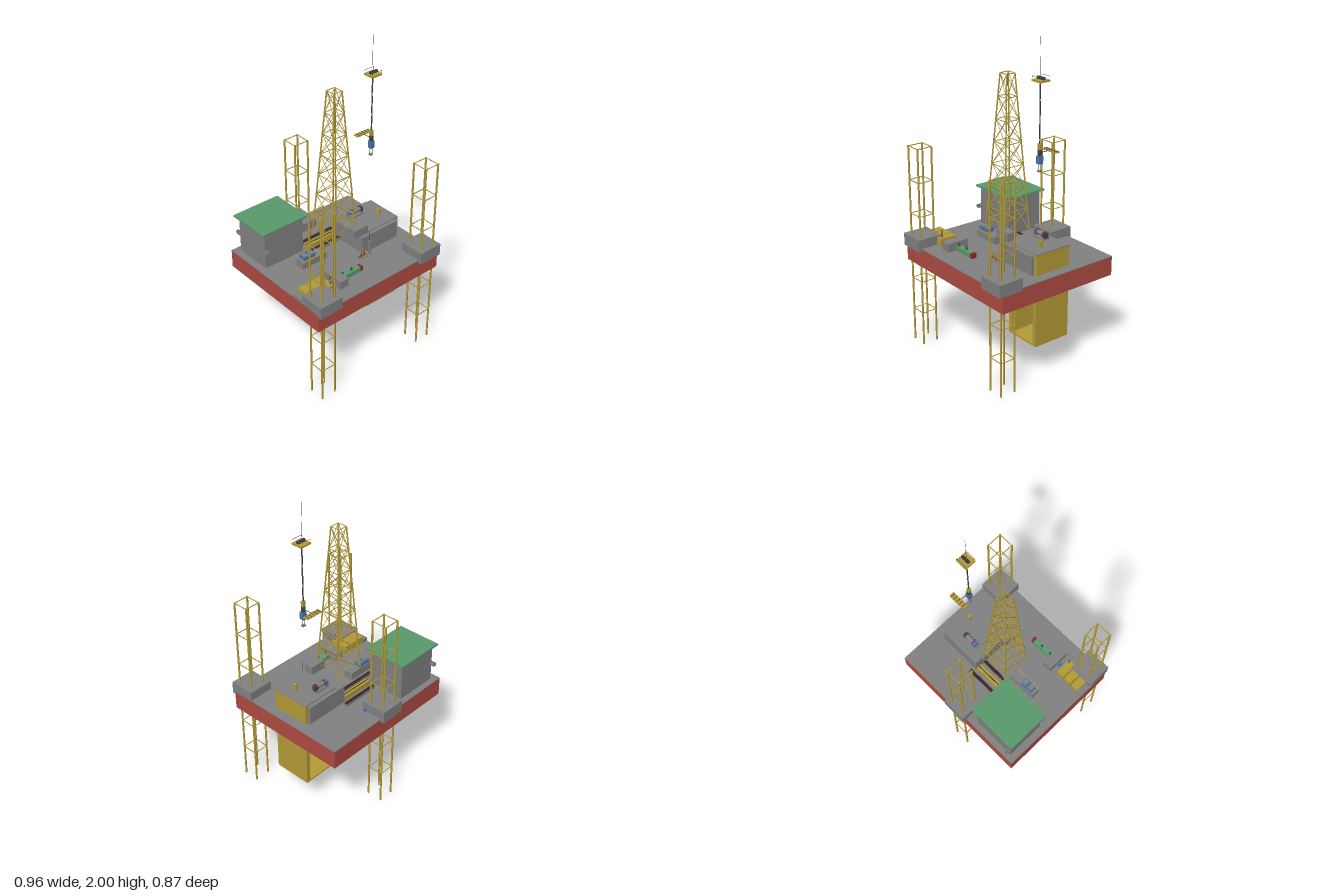
import * as THREE from 'three';

const mat = (name, color, side = THREE.FrontSide) => {
  const m = new THREE.MeshStandardMaterial({ color, side });
  m.name = name;
  return m;
};

export function createModel() {
  const red = mat('hull red', 0xb04c43), gray = mat('deck gray', 0x828282);
  const yellow = mat('structure yellow', 0xb59c38), green = mat('machinery green', 0x5a9a6c);
  const blue = mat('equipment blue', 0x4a78ac), brown = mat('pipe brown', 0x3a2a24);
  const dark = mat('steel dark gray', 0x404348), crimson = mat('engine crimson', 0x96262c);
  const root = new THREE.Group();
  root.name = 'jackUpRig';

  const add = (parent, name, geo, m) => {
    const mesh = new THREE.Mesh(geo, m);
    mesh.name = name;
    parent.add(mesh);
    return mesh;
  };
  // Box given by its limits on each axis
  const box = (name, m, x0, x1, y0, y1, z0, z1, parent = root) => {
    const mesh = add(parent, name, new THREE.BoxGeometry(x1 - x0, y1 - y0, z1 - z0), m);
    mesh.position.set((x0 + x1) / 2, (y0 + y1) / 2, (z0 + z1) / 2);
    return mesh;
  };
  // Round bar between two points
  const UP = new THREE.Vector3(0, 1, 0);
  const bar = (name, m, a, b, r, parent = root, sides = 6) => {
    const p = new THREE.Vector3(...a), q = new THREE.Vector3(...b);
    const d = q.clone().sub(p);
    const mesh = add(parent, name, new THREE.CylinderGeometry(r, r, d.length(), sides), m);
    mesh.position.copy(p).add(q).multiplyScalar(0.5);
    mesh.quaternion.setFromUnitVectors(UP, d.normalize());
    return mesh;
  };
  const group = (name) => {
    const g = new THREE.Group();
    g.name = name;
    root.add(g);
    return g;
  };
  const corners = [[-1, -1], [1, -1], [1, 1], [-1, 1]];

  // Hull with a gray deck plate
  box('hull', red, -0.475, 0.478, 0.545, 0.663, -0.413, 0.413);
  box('deck', gray, -0.475, 0.478, 0.663, 0.668, -0.413, 0.413);

  // Three lattice legs with jack houses
  for (const [x, z] of [[-0.392, 0.352], [0.396, 0.352], [0.002, -0.354]]) {
    const leg = group('leg');
    box('jackHouse', gray, x - 0.082, x + 0.082, 0.648, 0.726, z - 0.082, z + 0.082, leg);
    const h = 0.049;
    corners.forEach(([sx, sz], i) => {
      bar('legChord', yellow, [x + sx * h, 0, z + sz * h], [x + sx * h, 1.29, z + sz * h], 0.006, leg, 8);
      const [nx, nz] = corners[(i + 1) % 4];
      for (const y of [0.217, 0.43, 0.645, 0.86, 1.075, 1.287]) {
        bar('legBrace', yellow, [x + sx * h, y, z + sz * h], [x + nx * h, y, z + nz * h], 0.003, leg);
      }
    });
  }

  // Tapered derrick tower
  const derrick = group('derrick');
  const levels = 7, y0 = 0.8, y1 = 1.75;
  const node = ([sx, sz], k) => {
    const t = k / levels, h = 0.093 + (0.03 - 0.093) * t;
    return [sx * h, y0 + (y1 - y0) * t, sz * h];
  };
  corners.forEach((c, i) => {
    const n = corners[(i + 1) % 4];
    bar('derrickLeg', yellow, node(c, 0), node(c, levels), 0.0045, derrick);
    for (let k = 0; k <= levels; k++) {
      if (k > 0) bar('derrickGirt', yellow, node(c, k), node(n, k), 0.0026, derrick);
      if (k < levels) {
        bar('derrickBrace', yellow, node(c, k), node(n, k + 1), 0.002, derrick);
        bar('derrickBrace', yellow, node(n, k), node(c, k + 1), 0.002, derrick);
      }
    }
  });

  // Accommodation block with green roof and side pods
  const house = group('accommodation');
  box('houseBody', gray, -0.43, -0.145, 0.667, 0.914, -0.375, -0.125, house);
  box('houseRoof', green, -0.455, -0.124, 0.914, 0.925, -0.396, -0.106, house);
  for (const z of [-0.39, -0.11]) {
    box('housePod', gray, -0.436, -0.414, 0.78, 0.798, z - 0.017, z + 0.017, house);
  }
  bar('davitBar', dark, [-0.425, 0.8, -0.413], [-0.425, 0.8, -0.088], 0.0015, house);

  // Raised drill floor above a yellow trough that passes through the hull
  const floor = group('drillFloor');
  box('substructure', gray, 0.105, 0.394, 0.667, 0.785, -0.145, 0.141, floor);
  box('floorPlate', gray, 0.166, 0.415, 0.792, 0.798, -0.125, 0.122, floor);
  box('troughWall', yellow, 0.388, 0.415, 0.212, 0.792, -0.125, 0.122, floor);
  box('troughWall', yellow, 0.168, 0.195, 0.212, 0.792, -0.125, 0.122, floor);
  box('troughBottom', yellow, 0.195, 0.388, 0.212, 0.222, -0.125, 0.122, floor);
  box('controlCabin', gray, 0.056, 0.161, 0.79, 0.846, 0.066, 0.125, floor);

  // Winch on the drill floor
  const winch = group('winch');
  box('winchSkid', gray, 0.175, 0.282, 0.798, 0.808, -0.09, -0.04, winch);
  box('winchMotor', blue, 0.179, 0.201, 0.808, 0.836, -0.085, -0.052, winch);
  bar('winchDrum', gray, [0.206, 0.826, -0.066], [0.262, 0.826, -0.066], 0.015, winch, 16);
  for (const x of [0.203, 0.264]) {
    bar('drumFlange', crimson, [x - 0.002, 0.826, -0.066], [x + 0.002, 0.826, -0.066], 0.02, winch, 16);
  }
  box('winchGearbox', dark, 0.267, 0.282, 0.808, 0.838, -0.08, -0.052, winch);
  box('driverConsole', yellow, 0.333, 0.35, 0.798, 0.842, 0.02, 0.038, winch);

  // Crown block, hoisting line and top drive
  const hoist = group('hoist');
  const hx = 0.288;
  box('crownPlatform', yellow, 0.254, 0.329, 1.755, 1.766, -0.036, 0.035, hoist);
  for (const z of [-0.034, 0.033]) {
    bar('crownRail', dark, [0.256, 1.785, z], [0.327, 1.785, z], 0.001, hoist);
    for (const x of [0.256, 0.327]) bar('railPost', dark, [x, 1.766, z], [x, 1.785, z], 0.001, hoist);
  }
  for (let i = 0; i < 6; i++) {
    const x = 0.267 + i * 0.0096;
    bar('crownSheave', dark, [x, 1.774, 0], [x + 0.005, 1.774, 0], 0.01, hoist, 14);
  }
  bar('mast', dark, [0.285, 1.77, 0], [0.285, 2, 0], 0.001, hoist);
  for (const s of [-1, 1]) bar('hoistLine', dark, [hx + s * 0.003, 1.39, 0], [hx + s * 0.003, 1.757, 0], 0.002, hoist);
  box('travellingBlock', yellow, 0.277, 0.299, 1.365, 1.4, -0.008, 0.008, hoist);
  box('swivel', dark, 0.281, 0.297, 1.328, 1.365, -0.01, 0.01, hoist);
  box('topDrive', blue, 0.276, 0.304, 1.283, 1.33, -0.014, 0.014, hoist);
  for (const s of [-1, 1]) bar('elevatorLink', dark, [hx + s * 0.01, 1.238, 0], [hx + s * 0.01, 1.29, 0], 0.0015, hoist);
  box('elevator', gray, 0.277, 0.299, 1.234, 1.242, -0.009, 0.009, hoist);
  box('rackingBoard', yellow, 0.235, 0.351, 1.344, 1.35, -0.095, -0.061, hoist);
  for (let i = 0; i < 5; i++) {
    const x = 0.249 + i * 0.022;
    box('rackingFinger', dark, x, x + 0.003, 1.35, 1.353, -0.093, -0.063, hoist);
  }
  bar('boardArm', dark, [0.288, 1.347, -0.063], [0.288, 1.347, 0], 0.002, hoist);

  // Pipe racks and catwalk
  const pipes = group('pipeRack');
  for (const [x0, x1, z, n] of [[-0.12, 0.13, -0.184, 3], [-0.208, 0.104, -0.079, 3]]) {
    box('rackSkid', gray, x0, x1, 0.667, 0.682, z - 0.004, z + 0.018, pipes);
    for (let i = 0; i < n; i++) {
      bar('drillPipe', brown, [x0, 0.686, z + i * 0.0065], [x1, 0.686, z + i * 0.0065], 0.0038, pipes, 8);
    }
  }
  box('catwalk', yellow, -0.125, 0.105, 0.667, 0.7, -0.141, -0.108, pipes);
  box('catwalkGroove', brown, -0.125, 0.105, 0.7, 0.702, -0.127, -0.122, pipes);

  // Mud tank with shakers
  const mud = group('mudTank');
  box('tank', gray, -0.27, -0.085, 0.667, 0.718, -0.032, 0.028, mud);
  box('tankWalkway', yellow, -0.27, -0.085, 0.712, 0.718, 0.028, 0.032, mud);
  for (const x of [-0.252, -0.206]) {
    box('shaker', blue, x, x + 0.038, 0.718, 0.742, -0.027, 0.022, mud);
    box('shakerScreen', gray, x + 0.005, x + 0.033, 0.742, 0.744, -0.016, 0.018, mud);
  }

  // Yellow store containers
  const stores = group('storeContainers');
  box('containerSkid', gray, -0.479, -0.44, 0.667, 0.69, 0.191, 0.302, stores);
  for (let i = 0; i < 3; i++) {
    const x = -0.44 + i * 0.06;
    box('container', yellow, x, x + 0.052, 0.667, 0.716, 0.191, 0.302, stores);
  }
  bar('vent', dark, [-0.28, 0.667, 0.285], [-0.28, 0.768, 0.285], 0.003, stores);

  // Generator line
  const gen = group('generators');
  box('switchCabin', gray, -0.228, -0.166, 0.667, 0.722, 0.174, 0.32, gen);
  box('pump', blue, -0.246, -0.228, 0.667, 0.692, 0.233, 0.262, gen);
  for (const x of [-0.161, -0.091]) {
    box('engine', green, x, x + 0.068, 0.668, 0.698, 0.229, 0.266, gen);
    bar('exhaust', dark, [x + 0.01, 0.695, 0.248], [x + 0.01, 0.715, 0.248], 0.006, gen, 10);
  }
  box('radiator', crimson, -0.023, -0.004, 0.667, 0.698, 0.232, 0.264, gen);

  // Valve manifold, standpipe and small rear pump
  const valves = group('manifold');
  box('manifoldSkid', gray, 0.051, 0.118, 0.667, 0.674, 0.151, 0.179, valves);
  bar('manifoldPipe', dark, [0.054, 0.684, 0.165], [0.115, 0.684, 0.165], 0.004, valves, 8);
  for (let i = 0; i < 5; i++) {
    const x = 0.06 + i * 0.0125;
    bar('valve', i % 2 ? crimson : yellow, [x, 0.674, 0.165], [x, 0.696, 0.165], 0.0045, valves, 8);
  }
  bar('standpipe', gray, [0.141, 0.667, 0.165], [0.141, 0.762, 0.165], 0.009, valves, 14);
  bar('standpipeStem', dark, [0.141, 0.762, 0.165], [0.141, 0.83, 0.165], 0.0015, valves);
  box('rearPump', blue, 0.084, 0.093, 0.667, 0.69, -0.303, -0.282, valves);

  return root;
}
